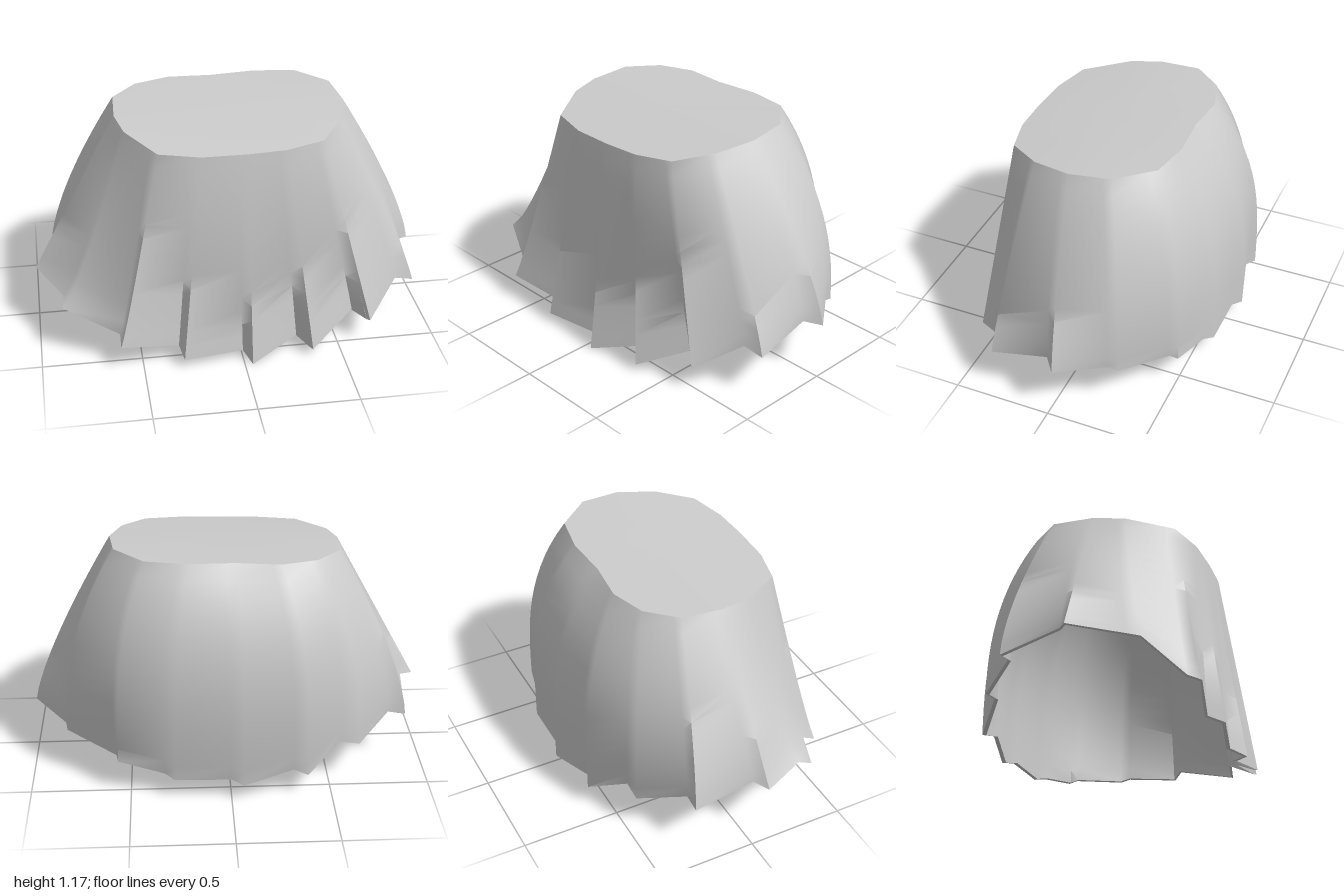
import * as THREE from 'three';
import { toCreasedNormals } from 'three/addons/utils/BufferGeometryUtils.js';

// One row per pleat: outer fold at the hem (x, y, z), inner fold (x, z), waist point (x, z),
// and how the fold swells (1 straight, more = bulging early, less = flaring late)
const PLEATS = [
  [0.995, 0.28, -0.03, 0.92, 0.03, 0.585, 0.05, 1.3],
  [0.93, 0.23, 0.33, 0.83, 0.35, 0.53, 0.25, 1.15],
  [0.66, 0.13, 0.53, 0.58, 0.46, 0.41, 0.42, 1],
  [0.35, 0.04, 0.61, 0.28, 0.52, 0.22, 0.472, 1],
  [0.04, 0.0, 0.635, 0.0, 0.56, 0.03, 0.48, 1],
  [-0.3, 0.05, 0.62, -0.32, 0.54, -0.19, 0.473, 1],
  [-0.61, 0.14, 0.6, -0.61, 0.53, -0.39, 0.42, 0.9],
  [-0.88, 0.27, 0.4, -0.87, 0.33, -0.53, 0.2, 0.75],
  [-1.0, 0.33, 0.08, -0.93, 0.03, -0.565, 0.04, 1],
  [-0.91, 0.27, -0.27, -0.82, -0.27, -0.555, -0.17, 1.45],
  [-0.65, 0.21, -0.46, -0.55, -0.46, -0.43, -0.31, 2.2],
  [-0.38, 0.12, -0.6, -0.31, -0.57, -0.25, -0.37, 3],
  [-0.06, 0.09, -0.635, 0.0, -0.6, -0.03, -0.35, 3.3],
  [0.28, 0.11, -0.6, 0.33, -0.56, 0.2, -0.365, 3.1],
  [0.56, 0.17, -0.51, 0.57, -0.47, 0.41, -0.33, 2.8],
  [0.82, 0.24, -0.3, 0.83, -0.25, 0.56, -0.16, 2.3],
];
const ROWS = 14;
const THICKNESS = 0.02;
const FOLD_AT = 0.2; // where the inner fold starts, as a share of the panel

const waistHeight = (x, z) => 1.145 + 0.02 * x - 0.07 * z - 0.1 * z * z;

// Outer fold from waist to hem
function outerFold([x, y, z, , , topX, topZ, swell]) {
  const topY = waistHeight(topX, topZ);
  const line = [];
  for (let j = 0; j <= ROWS; j++) {
    const t = j / ROWS;
    const f = 1 - Math.pow(1 - t, swell);
    line.push(new THREE.Vector3(
      THREE.MathUtils.lerp(topX, x, f),
      THREE.MathUtils.lerp(topY, y, t),
      THREE.MathUtils.lerp(topZ, z, f)));
  }
  return line;
}

// Inner fold: lies in the panel at the waist and sinks in towards the hem
function innerFold([, y, , nx, nz], fold, nextFold) {
  const hem = new THREE.Vector3(nx, y + 0.015 + 0.04 * Math.max(0, nz), nz);
  const sink = hem.sub(fold[ROWS].clone().lerp(nextFold[ROWS], FOLD_AT));
  return fold.map((p, j) => p.clone().lerp(nextFold[j], FOLD_AT)
    .addScaledVector(sink, Math.pow(j / ROWS, 1.3)));
}

// Outer and inner fold of every pleat, in order round the body
function makeColumns() {
  const folds = PLEATS.map(outerFold);
  return PLEATS.flatMap((pleat, i) =>
    [folds[i], innerFold(pleat, folds[i], folds[(i + 1) % folds.length])]);
}

// Same column moved towards the middle by the cloth thickness, just below the waist cap
const inset = (column) => column.map((p, j) => {
  const s = 1 - THICKNESS / Math.hypot(p.x, p.z);
  return new THREE.Vector3(p.x * s, p.y - 0.012 * (1 - j / ROWS), p.z * s);
});

const creased = (points, angle) =>
  toCreasedNormals(new THREE.BufferGeometry().setFromPoints(points), angle);

// Closed band of quads across neighbouring columns
function band(columns, flip = false) {
  const points = [];
  columns.forEach((col, i) => {
    const nextCol = columns[(i + 1) % columns.length];
    for (let j = 0; j < col.length - 1; j++) {
      const a = col[j], b = col[j + 1], c = nextCol[j + 1], d = nextCol[j];
      if (flip) points.push(a, b, c, a, c, d);
      else points.push(a, d, c, a, c, b);
    }
  });
  return creased(points, 1.1);
}

// Flat fan closing the waist
function waistFan(columns) {
  const centre = new THREE.Vector3(0, 1.143, 0.05);
  const points = [];
  columns.forEach((col, i) => {
    points.push(centre, columns[(i + 1) % columns.length][0], col[0]);
  });
  return creased(points, 0.6);
}

export function createModel() {
  const cloth = new THREE.MeshStandardMaterial({ color: 0xcccccc, side: THREE.DoubleSide });
  cloth.name = 'grey cloth';

  const outer = makeColumns();
  const inner = outer.map(inset);
  const hem = outer.map((col, i) => [col[ROWS], inner[i][ROWS]]);

  const skirt = new THREE.Group();
  skirt.name = 'pleatedSkirt';
  const parts = {
    skirtOutside: band(outer),
    skirtLining: band(inner, true),
    hemEdge: band(hem),
    waistCap: waistFan(outer),
  };
  for (const [name, geometry] of Object.entries(parts)) {
    const mesh = new THREE.Mesh(geometry, cloth);
    mesh.name = name;
    skirt.add(mesh);
  }
  return skirt;
}
